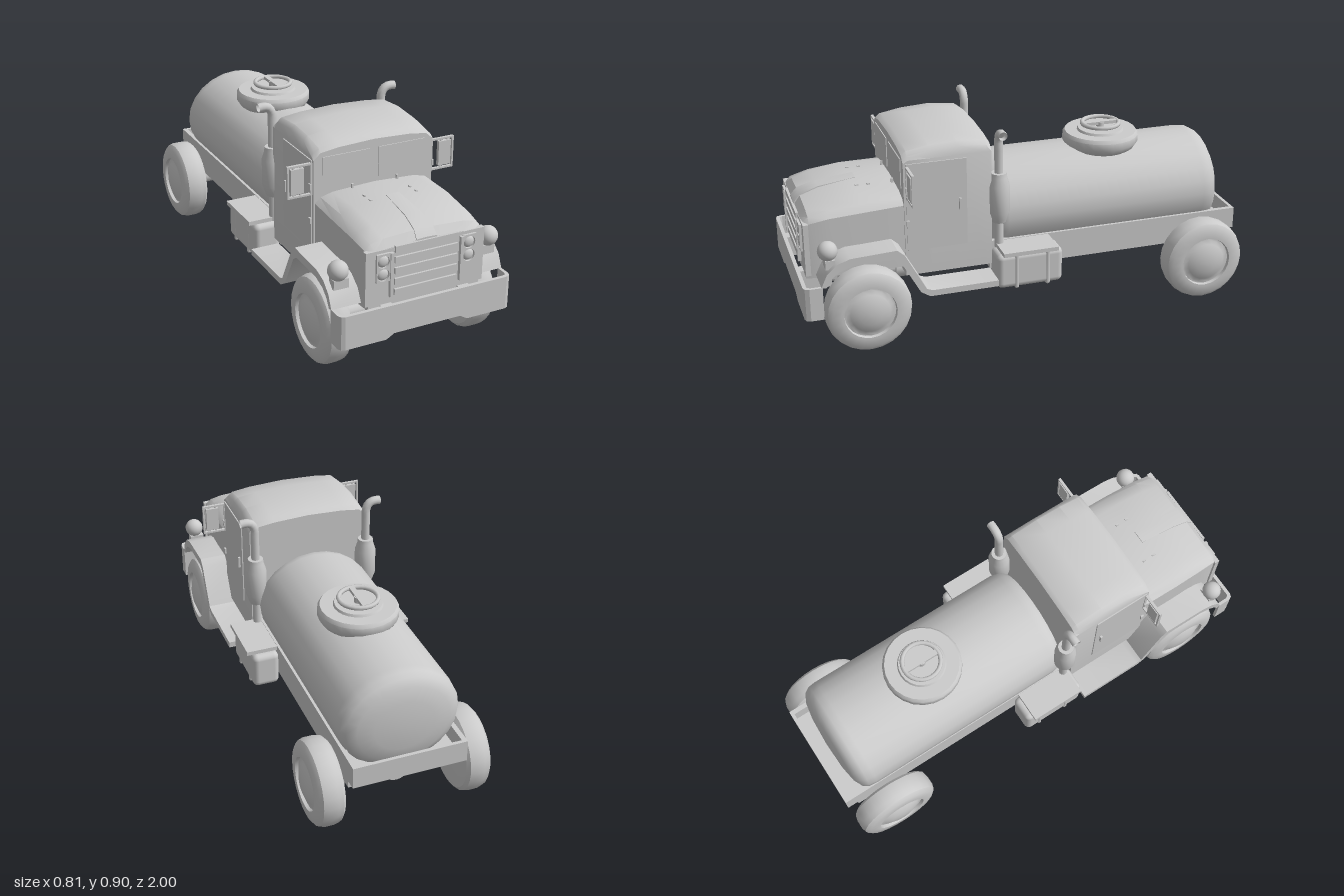
import * as THREE from 'three';
import { toCreasedNormals } from 'three/addons/utils/BufferGeometryUtils.js';
import { RoundedBoxGeometry } from 'three/addons/geometries/RoundedBoxGeometry.js';

const grey = new THREE.MeshStandardMaterial({ color: 0xcccccc });

export function createModel() {
  const model = new THREE.Group();

  const add = (name, geo, x = 0, y = 0, z = 0) => {
    const mesh = new THREE.Mesh(geo, grey);
    mesh.name = name;
    mesh.position.set(x, y, z);
    model.add(mesh);
    return mesh;
  };
  // box given by its limits
  const box = (name, x0, x1, y0, y1, z0, z1) =>
    add(name, new THREE.BoxGeometry(Math.abs(x1 - x0), y1 - y0, z1 - z0), (x0 + x1) / 2, (y0 + y1) / 2, (z0 + z1) / 2);
  const vec = (pts) => pts.map(([a, b]) => new THREE.Vector2(a, b));
  const lathe = (pts, sides) => toCreasedNormals(new THREE.LatheGeometry(vec(pts), sides), 0.6);
  const tubeZ = (r, z0, z1) => new THREE.CylinderGeometry(r, r, z1 - z0, 16).rotateX(Math.PI / 2).translate(0, 0, (z0 + z1) / 2);
  const extrude = (pts, depth) => new THREE.ExtrudeGeometry(new THREE.Shape(vec(pts)), { depth, bevelEnabled: false });
  const bothSides = (fn) => [1, -1].forEach((s) => fn(s, s > 0 ? 'left' : 'right'));

  // skin over symmetric cross-sections, listed from back to front; each is a right half, bottom to top
  const loft = (sections) => {
    const rings = sections.map(({ z, half }) => [
      ...half.map(([x, y]) => [x, y, z]),
      ...half.slice().reverse().filter(([x]) => x > 0).map(([x, y]) => [-x, y, z]),
    ]);
    const pos = [];
    const n = rings[0].length;
    for (let i = 0; i < rings.length - 1; i++) {
      for (let j = 0; j < n; j++) {
        const k = (j + 1) % n;
        const [a, b, c, d] = [rings[i][j], rings[i][k], rings[i + 1][k], rings[i + 1][j]];
        pos.push(...a, ...b, ...c, ...a, ...c, ...d);
      }
    }
    const first = rings[0], last = rings[rings.length - 1];
    for (let j = 1; j < n - 1; j++) {
      pos.push(...first[0], ...first[j + 1], ...first[j]);
      pos.push(...last[0], ...last[j], ...last[j + 1]);
    }
    const geo = new THREE.BufferGeometry();
    geo.setAttribute('position', new THREE.Float32BufferAttribute(pos, 3));
    return toCreasedNormals(geo, 0.6);
  };

  // cab with crowned roof
  const cab = [[0.165, 0.845], [0.185, 0.86], [0.31, 0.872], [0.43, 0.865], [0.525, 0.848], [0.545, 0.832]];
  add('cab', loft(cab.map(([z, t]) => ({
    z, half: [[0.275, 0.28], [0.275, Math.min(0.8, t - 0.045)], [0.262, t - 0.035], [0.243, t - 0.018], [0.16, t - 0.007], [0, t]],
  }))));
  bothSides((s, side) => {
    box(side + 'Windshield', s * 0.02, s * 0.235, 0.665, 0.795, 0.54, 0.549);
    box(side + 'Door', s * 0.27, s * 0.28, 0.395, 0.785, 0.275, 0.535);
    box(side + 'DoorHandle', s * 0.28, s * 0.29, 0.56, 0.61, 0.3, 0.31);
    for (const y of [0.51, 0.66]) box(side + 'DoorHinge', s * 0.28, s * 0.288, y, y + 0.025, 0.525, 0.54);
    box(side + 'Wiper', s * 0.1, s * 0.108, 0.63, 0.66, 0.55, 0.56);
    for (const z of [0.65, 0.7]) box(side + 'HoodLatch', s * 0.1, s * 0.108, 0.64, 0.651, z, z + 0.015);
  });

  // hood and engine body
  const hood = [[0.54, 0.268, 0.6, 0.645], [0.72, 0.268, 0.59, 0.652], [0.86, 0.264, 0.58, 0.632], [0.94, 0.258, 0.565, 0.607], [0.965, 0.25, 0.545, 0.575]];
  add('hood', loft(hood.map(([z, w, e, t]) => ({
    z, half: [[w, 0.32], [w, e], [w - 0.025, e + (t - e) * 0.5], [w - 0.08, t - 0.009], [0.05, t - 0.002], [0, t]],
  }))));
  add('hoodRidge', loft([[0.7, 0.656, 0.03], [0.86, 0.637, 0.036], [0.94, 0.612, 0.042], [0.968, 0.58, 0.045]].map(([z, t, w]) => ({
    z, half: [[w, t - 0.03], [w, t - 0.002], [0, t]],
  }))));

  // grille and headlights
  box('grillePanel', -0.265, 0.265, 0.335, 0.565, 0.945, 0.967);
  for (let i = 0; i < 5; i++) box('grilleSlat', -0.14, 0.14, 0.362 + i * 0.046, 0.388 + i * 0.046, 0.965, 0.976);
  bothSides((s, side) => {
    box(side + 'GrillePost', s * 0.15, s * 0.163, 0.36, 0.55, 0.965, 0.982);
    const frame = new THREE.Shape(vec([[-0.03, -0.06], [0.03, -0.06], [0.03, 0.06], [-0.03, 0.06]]));
    for (const y of [-0.03, 0.026]) {
      frame.holes.push(new THREE.Path().absarc(0, y, 0.026, 0, Math.PI * 2, true));
      const lens = new THREE.SphereGeometry(0.024, 14, 8);
      add(side + 'Headlight', lens.scale(1, 1, 0.5), s * 0.192, 0.492 + y, 0.968);
    }
    add(side + 'HeadlightFrame', new THREE.ExtrudeGeometry(frame, { depth: 0.012, bevelEnabled: false }), s * 0.192, 0.492, 0.965);
  });

  // bumper with notched lower edge and wrapped ends
  add('bumper', extrude([[-0.365, 0.19], [-0.185, 0.19], [-0.15, 0.21], [0.15, 0.21], [0.185, 0.19], [0.365, 0.19], [0.365, 0.335], [-0.365, 0.335]], 0.016), 0, 0, 0.983);
  bothSides((s, side) => {
    const plan = [[0.365, 0.999], [0.38, 0.993], [0.388, 0.975], [0.388, 0.92], [0.374, 0.92], [0.374, 0.97], [0.365, 0.983]];
    const end = extrude(plan.map(([x, z]) => [s * x, -z]), 0.145).rotateX(-Math.PI / 2);
    add(side + 'BumperEnd', end, 0, 0.19, 0);
    box(side + 'BumperBracket', s * 0.15, s * 0.2, 0.24, 0.33, 0.85, 0.985);
  });

  // fenders flowing into running boards: outer line, then the inner line back
  const fender = [[0.925, 0.335], [0.9, 0.39], [0.856, 0.43], [0.8, 0.448], [0.605, 0.457], [0.575, 0.43], [0.485, 0.262], [0.46, 0.252], [0.17, 0.252],
    [0.17, 0.225], [0.47, 0.225], [0.51, 0.25], [0.592, 0.4], [0.62, 0.418], [0.79, 0.415], [0.85, 0.395], [0.885, 0.365], [0.905, 0.33]];
  bothSides((s, side) => {
    const geo = toCreasedNormals(extrude(fender, 0.13).rotateY(-Math.PI / 2).translate(0.065, 0, 0), 0.5);
    add(side + 'Fender', geo, s * 0.323, 0, 0);
    // lamp on the fender
    add(side + 'FenderLamp', new THREE.SphereGeometry(0.042, 18, 12), s * 0.34, 0.475, 0.885);
    box(side + 'LampBracket', s * 0.3, s * 0.365, 0.4, 0.44, 0.86, 0.9);
  });

  // mirrors
  bothSides((s, side) => {
    const frame = new THREE.Shape(vec([[-0.055, -0.07], [0.055, -0.07], [0.055, 0.07], [-0.055, 0.07]]));
    frame.holes.push(new THREE.Path(vec([[-0.047, -0.062], [-0.047, 0.062], [0.047, 0.062], [0.047, -0.062]])));
    add(side + 'MirrorFrame', new THREE.ExtrudeGeometry(frame, { depth: 0.012, bevelEnabled: false }), s * 0.33, 0.705, 0.524);
    box(side + 'Mirror', s * 0.312, s * 0.37, 0.652, 0.76, 0.522, 0.538);
    for (const x of [0.325, 0.357]) box(side + 'MirrorPin', s * (x - 0.004), s * (x + 0.004), 0.64, 0.77, 0.527, 0.533);
  });

  // exhaust stacks
  bothSides((s, side) => {
    const path = new THREE.CatmullRomCurve3([[0, 0.35], [0, 0.6], [0, 0.8], [0.002, 0.85], [0.018, 0.874], [0.04, 0.88], [0.064, 0.878]]
      .map(([x, y]) => new THREE.Vector3(s * (0.262 + x), y, 0.13)));
    const pipe = add(side + 'ExhaustPipe', new THREE.TubeGeometry(path, 36, 0.019, 12));
    pipe.material = new THREE.MeshStandardMaterial({ color: 0xcccccc, side: THREE.DoubleSide });
    add(side + 'Muffler', lathe([[0, 0.47], [0.03, 0.47], [0.035, 0.485], [0.047, 0.52], [0.047, 0.64], [0.036, 0.675], [0.034, 0.695], [0, 0.695]], 16), s * 0.262, 0, 0.13);
  });

  // fuel tanks hung under a step plate
  bothSides((s, side) => {
    box(side + 'StepPlate', s * 0.23, s * 0.385, 0.352, 0.37, -0.1, 0.145);
    add(side + 'FuelTank', new RoundedBoxGeometry(0.12, 0.16, 0.295, 3, 0.025), s * 0.305, 0.272, 0.018);
    for (const z of [-0.06, 0.08]) add(side + 'TankStrap', new RoundedBoxGeometry(0.126, 0.166, 0.02, 2, 0.009), s * 0.305, 0.272, z);
  });

  // rear bed
  box('bedFloor', -0.245, 0.245, 0.24, 0.3, -0.95, 0.165);
  bothSides((s, side) => box(side + 'BedWall', s * 0.225, s * 0.246, 0.275, 0.372, -1, 0.165));
  box('bedRearWall', -0.246, 0.246, 0.275, 0.372, -1, -0.985);
  box('bedRearFloor', -0.24, 0.24, 0.276, 0.3, -0.99, -0.94);

  // tank
  const tank = lathe([[0, -0.938], [0.13, -0.932], [0.2, -0.92], [0.24, -0.9], [0.256, -0.875], [0.26, -0.84], [0.26, 0.08], [0.254, 0.11], [0.235, 0.132], [0, 0.137]], 24);
  add('tank', tank.scale(1, 1, 0.86).rotateX(Math.PI / 2), 0, 0.466, 0);

  // hatch with handwheel
  add('hatch', lathe([[0.1, 0.6], [0.125, 0.645], [0.155, 0.665], [0.17, 0.69], [0.17, 0.72], [0.16, 0.735], [0.105, 0.735], [0.1, 0.745], [0, 0.745]], 24), 0, 0, -0.43);
  add('handwheelStem', new THREE.CylinderGeometry(0.018, 0.018, 0.04, 12), 0, 0.75, -0.43);
  add('handwheel', new THREE.TorusGeometry(0.082, 0.01, 8, 24).rotateX(Math.PI / 2), 0, 0.765, -0.43);
  box('handwheelSpoke', -0.012, 0.012, 0.758, 0.772, -0.51, -0.35);

  // drive shaft, collars and axles
  add('driveShaft', tubeZ(0.04, -0.81, 0.75), 0, 0.2, 0);
  for (const [a, b] of [[0.39, 0.54], [-0.62, -0.43]]) add('shaftCollar', tubeZ(0.056, a, b), 0, 0.2, 0);
  for (const z of [0.727, -0.81]) {
    add('axle', new THREE.CylinderGeometry(0.036, 0.036, 0.6, 14).rotateZ(Math.PI / 2), 0, 0.186, z);
    add('differential', tubeZ(0.056, -0.06, 0.06), 0, 0.2, z);
  }

  // wheels: tire, recessed rim and domed hub
  const wheel = [[0, -0.055], [0.12, -0.06], [0.165, -0.055], [0.18, -0.042], [0.185, -0.02], [0.185, 0.02], [0.178, 0.042], [0.16, 0.056],
    [0.122, 0.06], [0.113, 0.06], [0.11, 0.046], [0.1, 0.046], [0.085, 0.055], [0.05, 0.067], [0, 0.072]];
  bothSides((s, side) => {
    for (const [name, x, z] of [['FrontWheel', 0.332, 0.727], ['RearWheel', 0.318, -0.81]]) {
      add(side + name, lathe(wheel, 24).rotateZ(-s * Math.PI / 2), s * x, 0.186, z);
    }
  });

  return model;
}
